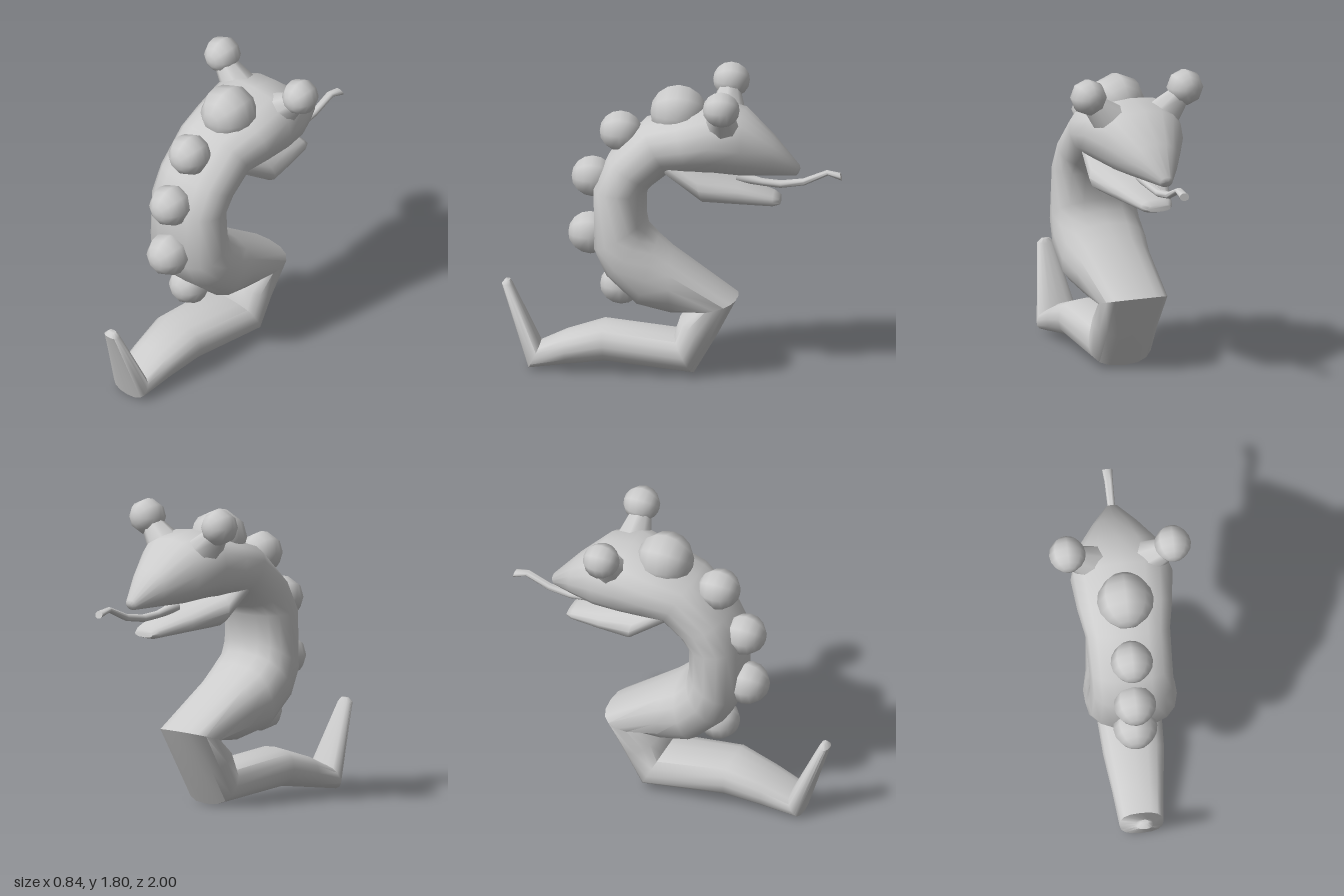
import * as THREE from 'three';
import { toCreasedNormals } from 'three/addons/utils/BufferGeometryUtils.js';

const SIDES = 16;
const material = new THREE.MeshStandardMaterial({ color: 0xcccccc });

function addMesh(parent, geometry, name) {
  const mesh = new THREE.Mesh(geometry, material);
  mesh.name = name;
  parent.add(mesh);
  return mesh;
}

// Skin over cross-sections [z1, y1, z2, y2, halfWidth]; the pairs are opposite edges of the side profile.
function loft(rings, power = 0.82) {
  const positions = [], index = [];
  const soft = (v) => Math.sign(v) * Math.abs(v) ** power;
  for (const [z1, y1, z2, y2, w] of rings) {
    for (let j = 0; j < SIDES; j++) {
      const t = (j / SIDES) * Math.PI * 2;
      const s = soft(Math.sin(t)) / 2;
      positions.push(w * soft(Math.cos(t)), (y1 + y2) / 2 + (y1 - y2) * s, (z1 + z2) / 2 + (z1 - z2) * s);
    }
  }
  for (let i = 0; i < rings.length - 1; i++) {
    for (let j = 0; j < SIDES; j++) {
      const k = (j + 1) % SIDES;
      const a = i * SIDES + j, b = i * SIDES + k;
      index.push(a, b, a + SIDES, b, b + SIDES, a + SIDES);
    }
  }
  // end caps
  const last = (rings.length - 1) * SIDES;
  for (let j = 1; j < SIDES - 1; j++) {
    index.push(0, j + 1, j, last, last + j, last + j + 1);
  }
  const geometry = new THREE.BufferGeometry();
  geometry.setAttribute('position', new THREE.Float32BufferAttribute(positions, 3));
  geometry.setIndex(index);
  return toCreasedNormals(geometry, 0.95);
}

function ball(radius) {
  return new THREE.SphereGeometry(radius, 8, 8).rotateX(Math.PI / 2);
}

export function createModel() {
  const model = new THREE.Group();
  model.name = 'snake';

  // tail, coils, neck and upper head in one skin, from tail tip to snout
  addMesh(model, loft([
    [0.98, 0.535, 0.95, 0.535, 0.025],
    [1.0, 0.51, 0.935, 0.51, 0.05],
    [0.84, 0.01, 0.77, 0.16, 0.13],
    [0.62, 0.04, 0.62, 0.23, 0.15],
    [0.39, 0.07, 0.40, 0.30, 0.18],
    [-0.14, 0.015, -0.02, 0.25, 0.2],
    [-0.26, 0.22, -0.05, 0.34, 0.2],
    [-0.39, 0.47, -0.14, 0.40, 0.21],
    [0.0, 0.75, 0.0, 0.38, 0.24],
    [0.08, 0.82, 0.2, 0.43, 0.27],
    [0.14, 0.885, 0.38, 0.6, 0.27],
    [0.15, 0.95, 0.455, 0.76, 0.26],
    [0.145, 1.11, 0.46, 1.13, 0.245],
    [0.1, 1.16, 0.37, 1.32, 0.245],
    [0.0, 1.24, 0.16, 1.53, 0.25],
    [-0.12, 1.25, -0.03, 1.58, 0.28],
    [-0.25, 1.25, -0.25, 1.65, 0.3],
    [-0.42, 1.23, -0.43, 1.61, 0.25],
    [-0.6, 1.225, -0.6, 1.45, 0.14],
    [-0.73, 1.22, -0.75, 1.28, 0.04],
    [-0.745, 1.235, -0.755, 1.26, 0.02],
  ]), 'body');

  // lower jaw
  addMesh(model, loft([
    [0.02, 1.225, 0.05, 1.4, 0.2],
    [-0.2, 1.07, -0.15, 1.28, 0.24],
    [-0.4, 1.055, -0.4, 1.185, 0.17],
    [-0.6, 1.038, -0.6, 1.115, 0.1],
    [-0.64, 1.05, -0.635, 1.09, 0.075],
  ]), 'lowerJaw');

  // tongue
  addMesh(model, loft([
    [-0.38, 1.17, -0.38, 1.24, 0.035],
    [-0.54, 1.15, -0.53, 1.195, 0.025],
    [-0.64, 1.14, -0.64, 1.185, 0.025],
    [-0.78, 1.16, -0.77, 1.2, 0.022],
    [-0.92, 1.225, -0.91, 1.255, 0.025],
    [-1.0, 1.195, -0.99, 1.24, 0.03],
  ], 1), 'tongue');

  // eyes on short stalks
  for (const side of [-1, 1]) {
    const eye = new THREE.Group();
    eye.name = side > 0 ? 'leftEye' : 'rightEye';
    addMesh(eye, ball(0.108), 'eyeball').position.set(0.31 * side, 1.7, -0.32);
    const stalk = addMesh(eye, new THREE.CylinderGeometry(0.065, 0.12, 0.2, 8), 'eyeStalk');
    stalk.position.set(0.21 * side, 1.585, -0.31);
    stalk.rotation.z = -0.8 * side;
    model.add(eye);
  }

  // round bumps along the back: z, y, radius
  const bumps = [
    [-0.04, 1.585, 0.167], [0.3, 1.46, 0.125], [0.465, 1.18, 0.125],
    [0.48, 0.835, 0.13], [0.3, 0.525, 0.122],
  ];
  bumps.forEach(([z, y, r], i) => addMesh(model, ball(r), `backBump${i + 1}`).position.set(0, y, z));

  return model;
}
